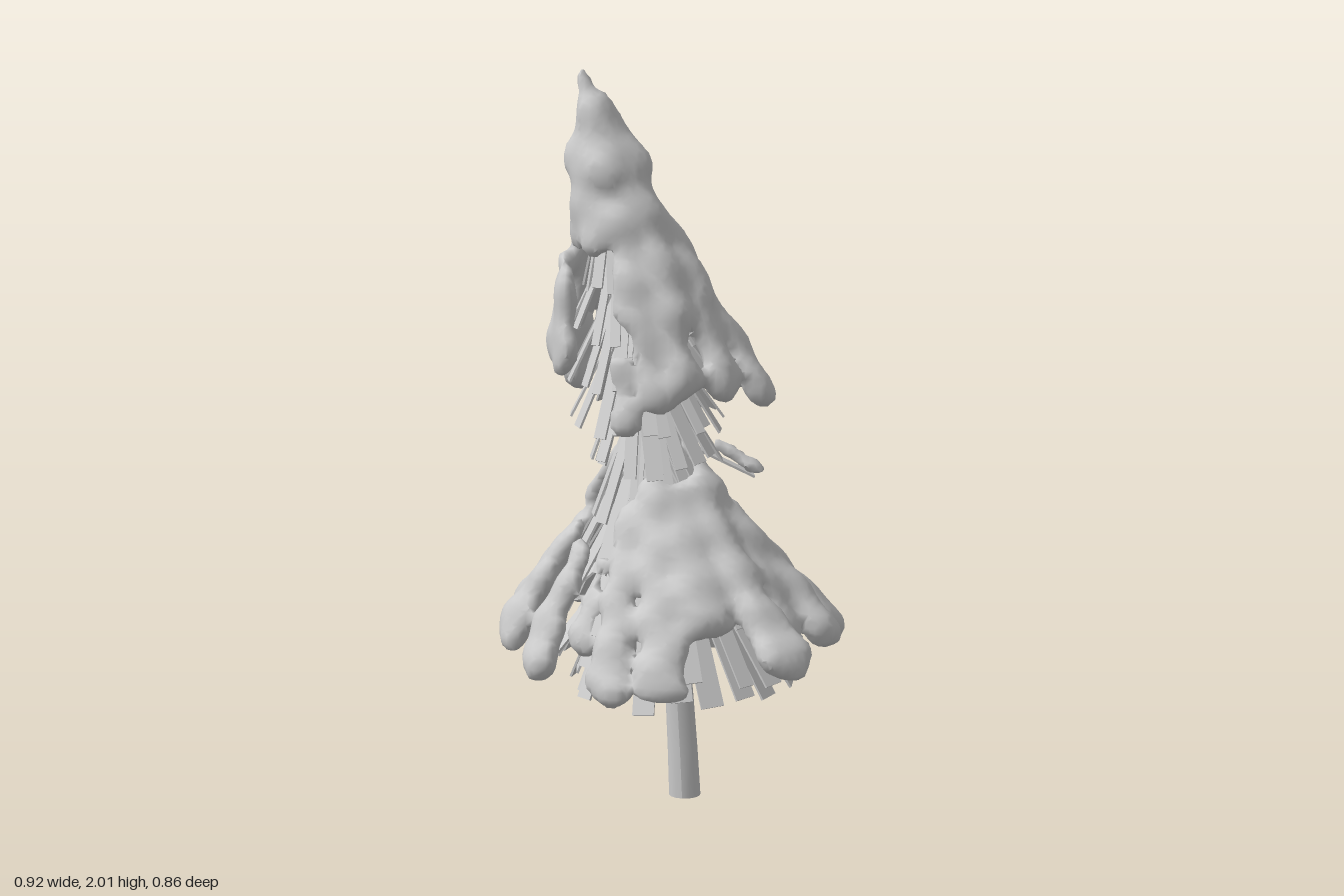
import * as THREE from 'three';
import { mergeGeometries } from 'three/addons/utils/BufferGeometryUtils.js';

const grey = () => new THREE.MeshStandardMaterial({ color: 0xcccccc });

// The trunk bends towards -x as it rises
const lean = (y) => 0.04 - 0.04 * y - 0.045 * y * y;
const point = (angle, r, y) =>
  new THREE.Vector3(lean(y) + r * Math.cos(angle), y, -0.03 + r * Math.sin(angle));

// Frame at a: x sideways, y from a towards b, z away from the trunk
function frame(a, b, angle) {
  const along = b.clone().sub(a).normalize();
  const side = new THREE.Vector3(Math.sin(angle), 0, -Math.cos(angle));
  side.addScaledVector(along, -side.dot(along)).normalize();
  const out = new THREE.Vector3().crossVectors(side, along);
  return new THREE.Matrix4().makeBasis(side, along, out).setPosition(a);
}

let seed = 7;
const rand = () => (seed = (seed * 16807) % 2147483647) / 2147483647;

// A snow lobe is a flattened capsule, widening towards its lower end
function lobe(degrees, r0, y0, r1, y1, width) {
  const angle = THREE.MathUtils.degToRad(degrees);
  const a = point(angle, r0, y0), b = point(angle, r1, y1);
  const m = frame(a, b, angle);
  return { a, b, angle, width, length: a.distanceTo(b), e: m.invert().elements };
}

function lobeDistance(l, x, y, z) {
  const e = l.e;
  const s = e[0] * x + e[4] * y + e[8] * z + e[12];
  const t = e[1] * x + e[5] * y + e[9] * z + e[13];
  const n = e[2] * x + e[6] * y + e[10] * z + e[14];
  const c = Math.min(Math.max(t, 0), l.length);
  const w = l.width * (0.6 + 0.4 * c / l.length);
  return (Math.hypot(t - c, s, n * 1.6) - w) * 0.8;
}

// Smooth blend of lobes, meshed by averaging edge crossings in each grid cell
function snowGeometry(lobes, y0, y1) {
  const h = 0.02, min = [-0.54, y0, -0.54];
  const size = [55, Math.ceil((y1 - y0) / h), 55], k = 0.008;
  const step = [1, size[0], size[0] * size[1]];
  const field = new Float32Array(size[0] * size[1] * size[2]);
  const each = (from, fn) => {
    for (let z = from; z < size[2] - 1; z++)
      for (let y = from; y < size[1] - 1; y++)
        for (let x = from; x < size[0] - 1; x++) fn(x, y, z, x + y * step[1] + z * step[2]);
  };
  field.fill(1);
  each(1, (i, j, m, id) => {
    const x = min[0] + i * h, y = min[1] + j * h, z = min[2] + m * h;
    let sum = 0;
    for (const l of lobes) sum += Math.exp(-lobeDistance(l, x, y, z) / k);
    const lumps = Math.sin(x * 29 + y * 9) * Math.sin(y * 25 + 1) * Math.sin(z * 31 - y * 11);
    field[id] = sum > 1e-30 ? -k * Math.log(sum) + 0.016 * lumps : 1;
  });

  const positions = [], index = [], vertex = new Int32Array(field.length).fill(-1);
  each(0, (x, y, z, id) => {
    const sum = [0, 0, 0];
    let n = 0;
    for (let c = 0; c < 8; c++) for (let ax = 0; ax < 3; ax++) {
      if (c >> ax & 1) continue;
      const o = [c & 1, c >> 1 & 1, c >> 2 & 1];
      const p = id + o[0] + o[1] * step[1] + o[2] * step[2];
      const f = field[p], g = field[p + step[ax]];
      if ((f < 0) === (g < 0)) continue;
      o[ax] = f / (f - g);
      o.forEach((v, q) => { sum[q] += v; });
      n++;
    }
    if (!n) return;
    vertex[id] = positions.length / 3;
    [x, y, z].forEach((v, q) => positions.push(min[q] + (v + sum[q] / n) * h));
  });
  each(1, (x, y, z, id) => {
    for (let ax = 0; ax < 3; ax++) {
      const inside = field[id] < 0;
      if (inside === (field[id + step[ax]] < 0)) continue;
      const u = step[(ax + 1) % 3], v = step[(ax + 2) % 3];
      const [a, b, c, d] = [id - u - v, id - v, id, id - u].map((q) => vertex[q]);
      index.push(...(inside ? [a, b, c, a, c, d] : [a, c, b, a, d, c]));
    }
  });
  const g = new THREE.BufferGeometry();
  g.setAttribute('position', new THREE.Float32BufferAttribute(positions, 3));
  g.setIndex(index);
  g.computeVertexNormals();
  return g;
}

// A thin flat strip of needles from a to b
function strip(a, b, angle, width) {
  const length = a.distanceTo(b);
  return new THREE.BoxGeometry(width, length, 0.006)
    .translate(0, length / 2, 0).applyMatrix4(frame(a, b, angle));
}

export function createModel() {
  const tree = new THREE.Group();
  tree.name = 'snowyTree';
  const add = (name, geometry) => {
    const mesh = new THREE.Mesh(geometry, grey());
    mesh.name = name;
    tree.add(mesh);
  };

  // Bent trunk
  const trunk = new THREE.CylinderGeometry(0.012, 0.042, 1.85, 14, 14).translate(0, 0.925, -0.03);
  const pos = trunk.attributes.position;
  for (let i = 0; i < pos.count; i++) pos.setX(i, pos.getX(i) + lean(pos.getY(i)));
  trunk.computeVertexNormals();
  add('trunk', trunk);

  // Rings of needle strips: top height, hem height, hem radius, count, strip width
  const rings = [
    [0.85, 0.32, 0.28, 19, 0.06], [0.88, 0.39, 0.32, 19, 0.055], [0.95, 0.52, 0.31, 19, 0.055],
    [1.02, 0.66, 0.24, 17, 0.05], [1.12, 0.80, 0.18, 16, 0.045], [1.25, 0.94, 0.18, 16, 0.04],
    [1.35, 1.04, 0.2, 17, 0.036], [1.45, 1.16, 0.2, 16, 0.034], [1.56, 1.29, 0.17, 15, 0.032],
    [1.68, 1.42, 0.13, 13, 0.03], [1.78, 1.55, 0.1, 11, 0.028],
  ];
  rings.forEach(([top, hem, radius, count, width], r) => {
    const strips = [];
    for (let i = 0; i < count; i++) {
      const angle = (i + 0.5 * (r % 2) + 0.5 * (rand() - 0.5)) / count * Math.PI * 2;
      const end = point(angle, radius * (0.9 + 0.2 * rand()), hem + 0.05 * (rand() - 0.4));
      strips.push(strip(point(angle, 0.025, top), end, angle, width * (0.8 + 0.4 * rand())));
    }
    add('needleRing' + (r + 1), mergeGeometries(strips));
  });

  // Upper snow: a pointed cap with a bulging lower half
  const upper = [lobe(180, 0.02, 1.977, 0.01, 1.85, 0.045)];
  for (let i = 0; i < 6; i++) {
    upper.push(lobe(i * 60 + 20, 0.015, 1.92, 0.075, 1.76, 0.055));
    upper.push(lobe(i * 60 + 50, 0.06, 1.79, 0.1, 1.63 - 0.03 * (i % 3), 0.06));
  }
  // Two tiers of lobes below the cap: angle, end height, end radius, width
  const middle = [
    [5, 1.43, 0.185, 0.065], [40, 1.4, 0.18, 0.065], [75, 1.4, 0.17, 0.06], [215, 1.42, 0.18, 0.06],
    [245, 1.4, 0.18, 0.065], [280, 1.38, 0.18, 0.065], [320, 1.42, 0.18, 0.065],
  ];
  for (const [angle, bottom, radius, width] of middle) {
    upper.push(lobe(angle, 0.08, 1.7, radius, bottom, width));
  }
  const skirt = [
    [-8, 1.14, 0.3, 0.06], [20, 1.2, 0.25, 0.065], [50, 1.22, 0.23, 0.06], [72, 1.18, 0.22, 0.05],
    [160, 1.24, 0.21, 0.055], [184, 1.22, 0.22, 0.06], [210, 1.14, 0.23, 0.055], [238, 1.24, 0.23, 0.06],
    [266, 1.12, 0.26, 0.06], [292, 1.19, 0.23, 0.065], [322, 1.16, 0.26, 0.065],
  ];
  for (const [angle, bottom, radius, width] of skirt) {
    upper.push(lobe(angle, 0.17, 1.46, radius, bottom, width));
  }
  upper.push(lobe(95, 0.2, 1.25, 0.23, 1.1, 0.045));
  add('upperSnow', snowGeometry(upper, 0.95, 2.08));

  // Lower snow: angle, start radius and height, end radius and height, width
  const lower = [
    [40, 0.15, 0.87, 0.46, 0.49, 0.075], [2, 0.19, 0.8, 0.4, 0.5, 0.075], [20, 0.17, 0.83, 0.33, 0.53, 0.075],
    [-12, 0.24, 0.73, 0.33, 0.57, 0.05], [-35, 0.23, 0.69, 0.43, 0.44, 0.075], [-62, 0.23, 0.69, 0.31, 0.49, 0.05],
    [-88, 0.22, 0.69, 0.365, 0.39, 0.07], [-112, 0.17, 0.8, 0.33, 0.54, 0.075], [-138, 0.16, 0.82, 0.36, 0.51, 0.075],
    [-168, 0.22, 0.74, 0.41, 0.5, 0.075], [171, 0.25, 0.73, 0.415, 0.48, 0.075], [147, 0.25, 0.71, 0.4, 0.43, 0.065],
    [126, 0.24, 0.69, 0.32, 0.5, 0.05], [107, 0.17, 0.83, 0.395, 0.42, 0.065], [86, 0.14, 0.9, 0.41, 0.43, 0.07],
    [64, 0.15, 0.87, 0.33, 0.61, 0.08], [-18, 0.17, 0.97, 0.26, 0.91, 0.04], [12, 0.1, 0.98, 0.16, 0.88, 0.045],
    [-75, 0.13, 0.92, 0.18, 0.84, 0.035], [-150, 0.12, 0.94, 0.22, 0.8, 0.05],
  ].map((l) => lobe(...l));
  add('lowerSnow', snowGeometry(lower, 0.26, 1.06));

  // Branches under the lower snow
  add('lowerBranches', mergeGeometries(lower.map((l) => {
    const end = l.b.clone().setY(l.b.y - 0.03);
    return strip(point(l.angle, 0.03, l.a.y + 0.04), end, l.angle, l.width);
  })));
  return tree;
}
